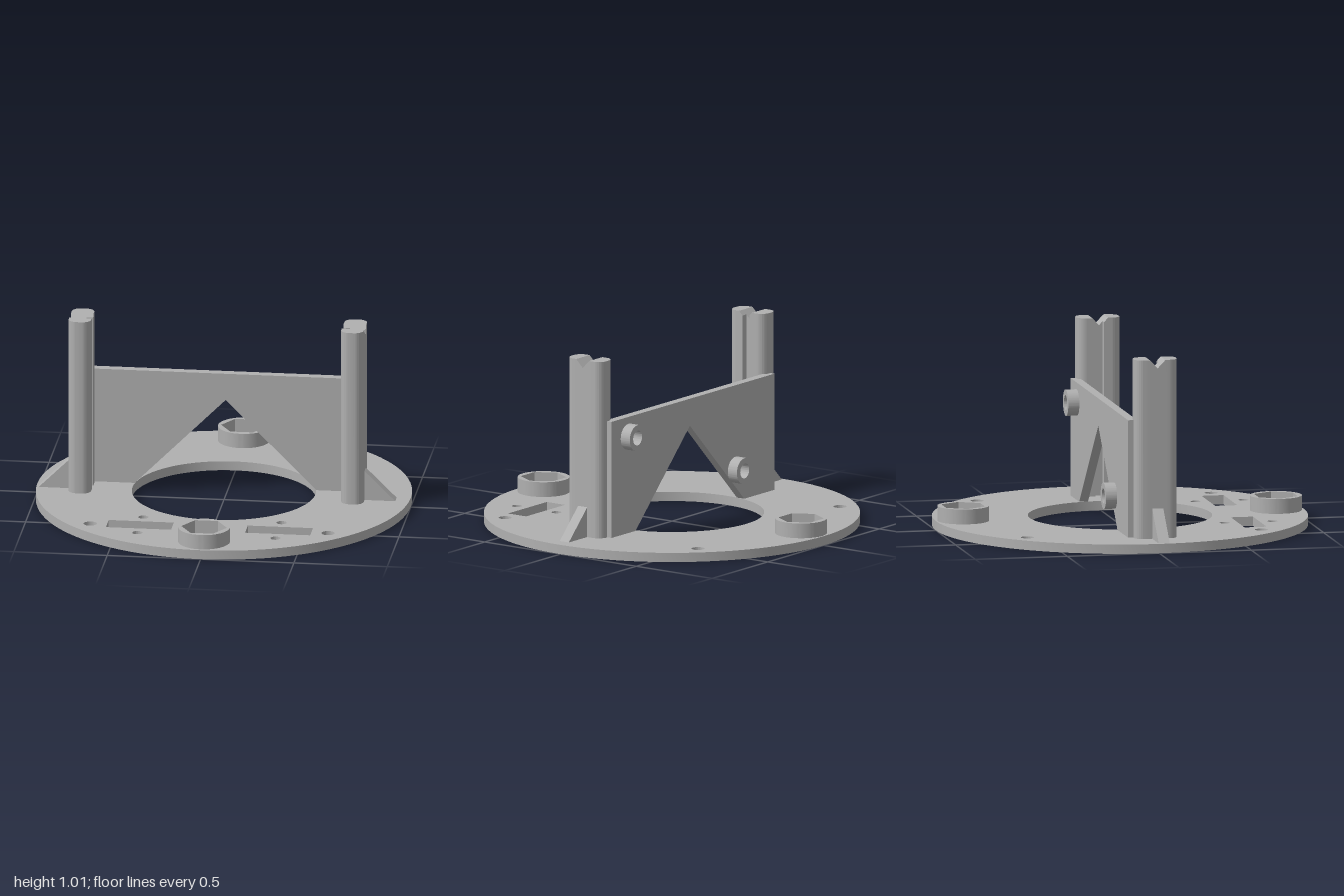
import * as THREE from 'three';
import { toCreasedNormals } from 'three/addons/utils/BufferGeometryUtils.js';

const grey = new THREE.MeshStandardMaterial({ color: 0xb0b0b0 });
grey.name = 'plain grey';

const BASE = 0.05; // top of the base disc
const TOP = 1.01;  // top of the posts

const polygon = (pts) => new THREE.Shape(pts.map(([x, y]) => new THREE.Vector2(x, y)));
const circle = (x, y, r, Type = THREE.Path) => new Type().absarc(x, y, r, 0, Math.PI * 2, false);

function extrude(shape, depth) {
  const g = new THREE.ExtrudeGeometry(shape, { depth, bevelEnabled: false, curveSegments: 48 });
  return toCreasedNormals(g, 0.5);
}
// outline in x,z extruded upward from y0 to y1
const upright = (shape, y0, y1) => extrude(shape, y1 - y0).rotateX(Math.PI / 2).translate(0, y1, 0);
// outline in x,y extruded from z0 to z1
const across = (shape, z0, z1) => extrude(shape, z1 - z0).translate(0, 0, z0);
// outline in z,y extruded from x0 to x1
const sideways = (shape, x0, x1) => extrude(shape, x1 - x0).rotateY(-Math.PI / 2).translate(x1, 0, 0);

function add(parent, name, geometry) {
  const mesh = new THREE.Mesh(geometry, grey);
  mesh.name = name;
  parent.add(mesh);
  return mesh;
}

// Disc with a wide centre opening, mounting holes and two slots
function baseDisc() {
  const s = circle(0, 0, 1, THREE.Shape);
  s.holes.push(circle(0, 0, 0.49));
  for (const k of [-1, 1]) {
    s.holes.push(circle(0.637 * k, -0.64, 0.035), circle(0.637 * k, 0.632, 0.035));
    s.holes.push(circle(0.37 * k, 0.49, 0.027), circle(0.37 * k, 0.75, 0.027));
    const a = 0.198 * k, b = 0.547 * k;
    s.holes.push(polygon([[a, 0.56], [b, 0.56], [b, 0.68], [a, 0.68]]));
  }
  return upright(s, 0, BASE);
}

// Round boss with a hexagonal pocket
function hexBoss(z) {
  const s = circle(0, z, 0.138, THREE.Shape);
  const hex = [];
  for (let i = 0; i < 6; i++) {
    const a = (i * Math.PI) / 3;
    hex.push([0.122 * Math.cos(a), z + 0.122 * Math.sin(a)]);
  }
  s.holes.push(polygon(hex));
  return upright(s, BASE, 0.13);
}

// Rounded end block of a post, from the flat side at zFlat to the rounded side at zEnd
function postEnd(x, zFlat, zEnd) {
  const h = 0.06, r = 0.048, d = Math.sign(zEnd - zFlat);
  const s = new THREE.Shape();
  s.moveTo(x - h, zFlat);
  s.lineTo(x + h, zFlat);
  s.lineTo(x + h, zEnd - d * r);
  s.absarc(x + h - r, zEnd - d * r, r, 0, d * Math.PI / 2, d < 0);
  s.absarc(x - h + r, zEnd - d * r, r, d * Math.PI / 2, d * Math.PI, d < 0);
  return upright(s, BASE, TOP);
}

// Post with a V notch on top and a groove down its inner face
function post(name, x, inward) {
  const g = new THREE.Group();
  g.name = name;
  const z0 = -0.012, zMid = 0.03, z1 = 0.072, yMid = 0.966;
  const notchY = (z) => yMid + (TOP - yMid) * Math.abs(z - zMid) / (z1 - zMid);
  const span = (a, b) => [Math.min(a, b), Math.max(a, b)];
  const outer = x - inward * 0.06, inner = x + inward * 0.06, groove = inner - inward * 0.035;
  add(g, 'postFront', postEnd(x, z1, 0.142));
  add(g, 'postBack', postEnd(x, z0, -0.09));
  add(g, 'postWeb', sideways(
    polygon([[z0, BASE], [z1, BASE], [z1, TOP], [zMid, yMid], [z0, TOP]]), ...span(outer, groove)));
  for (const [a, b] of [[z0, 0.005], [0.05, z1]]) {
    add(g, 'grooveLip', sideways(
      polygon([[a, BASE], [b, BASE], [b, notchY(b)], [a, notchY(a)]]), ...span(groove, inner)));
  }
  // triangular brace on the outer side
  const brace = polygon([[outer, BASE], [outer - inward * 0.165, BASE], [outer, 0.212]]);
  add(g, 'brace', across(brace, 0, 0.06));
  return g;
}

export function createModel() {
  const model = new THREE.Group();
  model.name = 'mountingBracket';

  add(model, 'baseDisc', baseDisc());
  for (const z of [-0.852, 0.847]) add(model, 'hexBoss', hexBoss(z));

  model.add(post('rightPost', -0.76, 1));
  model.add(post('leftPost', 0.70, -1));

  // Upright panel with a triangular cut-out
  const panel = polygon([[-0.76, BASE], [-0.487, BASE], [0, 0.535], [0.487, BASE],
    [0.703, BASE], [0.703, 0.682], [-0.76, 0.682]]);
  add(model, 'panel', across(panel, -0.118, -0.07));

  // Screw sockets on the back of the panel
  for (const [x, y] of [[0.55, 0.575], [-0.41, 0.223]]) {
    const ring = circle(x, y, 0.07, THREE.Shape);
    ring.holes.push(circle(x, y, 0.04));
    add(model, 'screwSocket', across(ring, -0.178, -0.118));
  }
  return model;
}
